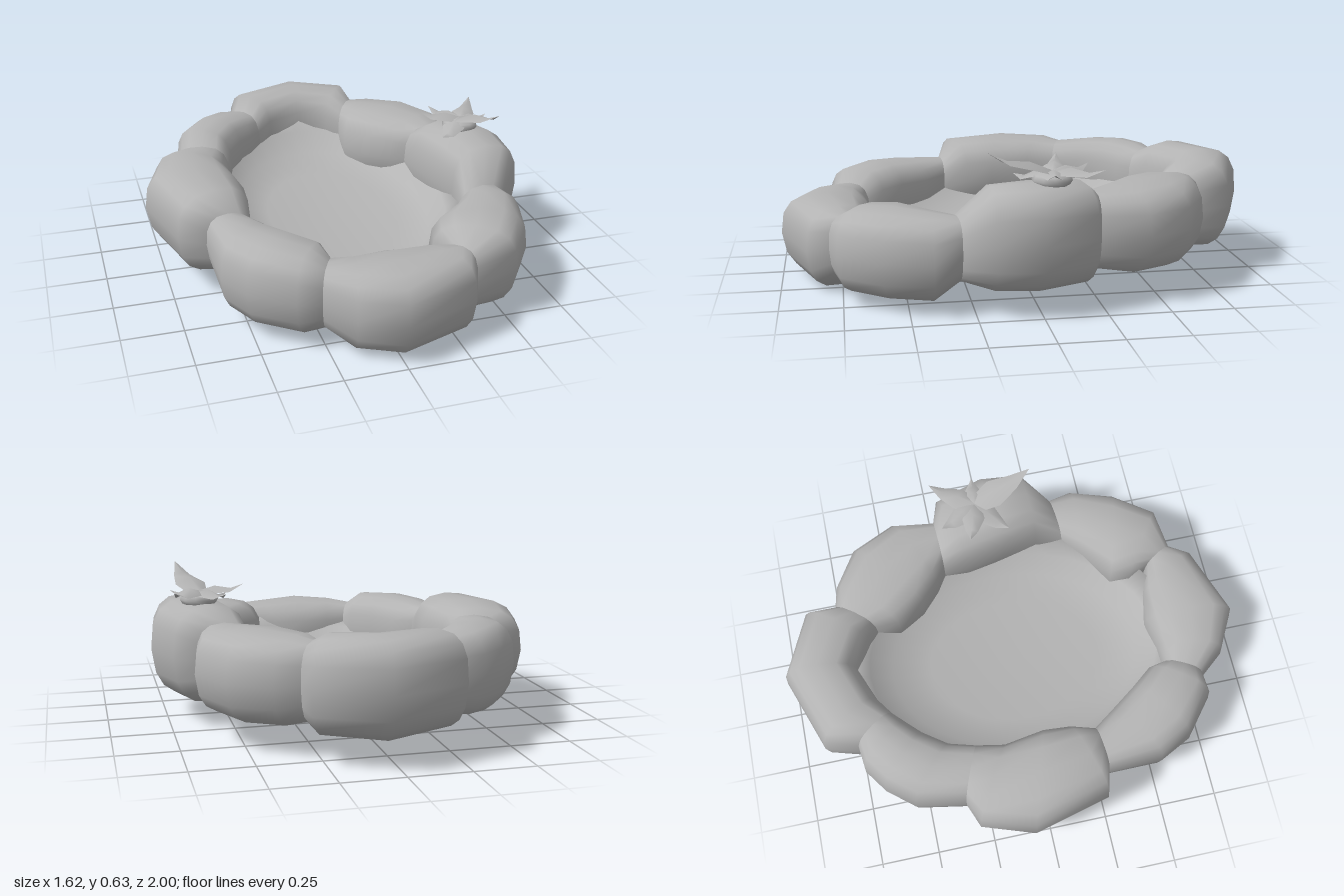
import * as THREE from 'three';
import { mergeVertices } from 'three/addons/utils/BufferGeometryUtils.js';

const stone = new THREE.MeshStandardMaterial({ color: 0xb4b4b4, side: THREE.DoubleSide });

// Rim lobes, clockwise from the back: bottom, top, then four outer and four inner
// plan points (x, z); the first point of each lobe lies in the crease before it
const lobes = [
  { name: 'backLobe', low: 0.10, high: 0.49,
    outer: [[-0.31, -0.74], [-0.27, -0.88], [0.05, -0.995], [0.32, -0.87]],
    inner: [[-0.19, -0.57], [-0.12, -0.62], [0.03, -0.68], [0.15, -0.61]] },
  { name: 'backLeftLobe', low: 0.10, high: 0.46,
    outer: [[0.33, -0.74], [0.43, -0.72], [0.59, -0.62], [0.68, -0.43]],
    inner: [[0.20, -0.57], [0.20, -0.47], [0.27, -0.35], [0.36, -0.27]] },
  { name: 'leftLobe', low: 0.09, high: 0.505,
    outer: [[0.65, -0.24], [0.74, -0.21], [0.81, 0.00], [0.79, 0.18]],
    inner: [[0.42, -0.23], [0.42, -0.12], [0.45, 0.05], [0.48, 0.20]] },
  { name: 'frontLeftLobe', low: 0.035, high: 0.39,
    outer: [[0.68, 0.30], [0.71, 0.41], [0.65, 0.60], [0.53, 0.77]],
    inner: [[0.47, 0.32], [0.39, 0.40], [0.26, 0.50], [0.24, 0.58]] },
  { name: 'frontLobe', low: 0.00, high: 0.35,
    outer: [[0.35, 0.80], [0.31, 0.89], [0.00, 1.00], [-0.17, 0.91]],
    inner: [[0.27, 0.66], [0.15, 0.62], [0.03, 0.60], [-0.10, 0.62]] },
  { name: 'frontRightLobe', low: 0.035, high: 0.39,
    outer: [[-0.27, 0.79], [-0.37, 0.79], [-0.53, 0.66], [-0.60, 0.52]],
    inner: [[-0.18, 0.62], [-0.20, 0.55], [-0.27, 0.46], [-0.35, 0.35]] },
  { name: 'rightLobe', low: 0.09, high: 0.455,
    outer: [[-0.61, 0.28], [-0.72, 0.25], [-0.805, -0.08], [-0.73, -0.30]],
    inner: [[-0.42, 0.26], [-0.40, 0.15], [-0.39, 0.04], [-0.42, -0.13]] },
  { name: 'backRightLobe', low: 0.10, high: 0.46,
    outer: [[-0.63, -0.34], [-0.59, -0.55], [-0.50, -0.66], [-0.40, -0.73]],
    inner: [[-0.40, -0.25], [-0.37, -0.36], [-0.30, -0.46], [-0.24, -0.52]] },
];

// Rounded upright cross-section between an inner and an outer plan point
const SIDES = 16;
function section([ox, oz], [ix, iz], low, high) {
  const round = (v) => Math.sign(v) * Math.abs(v) ** 0.72;
  return Array.from({ length: SIDES }, (_, k) => {
    const a = (k / SIDES) * Math.PI * 2;
    const c = round(Math.cos(a)), s = round(Math.sin(a));
    const w = 0.5 + 0.5 * c * (s < 0 ? 1 + 0.08 * s : 1);
    return new THREE.Vector3(ix + (ox - ix) * w, (low + high) / 2 + s * (high - low) / 2, iz + (oz - iz) * w);
  });
}

// Loft one lobe from the crease before it to the crease after it
function lobeGeometry(i) {
  const lobe = lobes[i];
  const crease = (n) => {
    const next = lobes[n % 8], prev = lobes[(n + 7) % 8];
    return section(next.outer[0], next.inner[0],
      Math.max(next.low, prev.low) + 0.03, Math.min(next.high, prev.high) - 0.02);
  };
  const rings = [crease(i)];
  for (let k = 1; k < 4; k++) {
    const drop = k === 2 ? 0 : 0.008;
    rings.push(section(lobe.outer[k], lobe.inner[k], lobe.low + drop, lobe.high - drop));
  }
  rings.push(crease(i + 1));
  const index = [];
  for (let r = 0; r < rings.length - 1; r++) {
    for (let k = 0; k < SIDES; k++) {
      const a = r * SIDES + k, b = r * SIDES + (k + 1) % SIDES;
      index.push(a, b, a + SIDES, b, b + SIDES, a + SIDES);
    }
  }
  const geometry = new THREE.BufferGeometry().setFromPoints(rings.flat());
  geometry.setIndex(index);
  geometry.computeVertexNormals();
  return geometry;
}

// Shallow basin, lower at the front, its edge hidden inside the rim
function basinGeometry() {
  const profile = [[0, 0.125], [0.6, 0.125], [0.92, 0.15], [1, 0.23], [0.96, 0.33],
    [0.84, 0.27], [0.72, 0.2], [0.5, 0.17], [0, 0.165]];
  let basin = new THREE.LatheGeometry(profile.map(([r, y]) => new THREE.Vector2(r, y)), 32);
  basin.scale(0.56, 1, 0.76);
  const pos = basin.attributes.position;
  for (let i = 0; i < pos.count; i++) pos.setY(i, pos.getY(i) - 0.07 * pos.getZ(i));
  basin.deleteAttribute('uv');
  basin.deleteAttribute('normal');
  basin = mergeVertices(basin, 1e-4);
  basin.computeVertexNormals();
  return basin;
}

// Folded pointed leaf from the flower centre to its tip
function leafGeometry(centre, tip, width) {
  const dir = tip.clone().sub(centre);
  const side = new THREE.Vector3(-dir.z, 0, dir.x).normalize().multiplyScalar(width);
  const rows = [[0, 0.6, 0], [0.35, 1, 0.01], [0.7, 0.55, -0.01], [1, 0, 0]];
  const points = [], index = [];
  rows.forEach(([t, w, lift], r) => {
    for (const s of [-1, 0, 1]) {
      const pt = centre.clone().addScaledVector(dir, t).addScaledVector(side, s * w);
      pt.y += lift - Math.abs(s) * 0.025 * w;
      points.push(pt);
    }
    if (r === 0) return;
    for (let k = 0; k < 2; k++) {
      const n = r * 3 + k;
      index.push(n - 3, n - 2, n, n - 2, n + 1, n);
    }
  });
  const geometry = new THREE.BufferGeometry().setFromPoints(points);
  geometry.setIndex(index);
  geometry.computeVertexNormals();
  return geometry;
}

export function createModel() {
  const group = new THREE.Group();
  const add = (name, geometry) => {
    const mesh = new THREE.Mesh(geometry, stone);
    mesh.name = name;
    group.add(mesh);
    return mesh;
  };

  lobes.forEach((lobe, i) => add(lobe.name, lobeGeometry(i)));
  add('basin', basinGeometry());

  // Star of curled leaves around a flat bud on the left lobe
  const bud = add('bud', new THREE.SphereGeometry(0.08, 10, 6));
  bud.scale.y = 0.45;
  bud.position.set(0.61, 0.51, -0.05);
  const centre = new THREE.Vector3(0.61, 0.545, -0.05);
  const tips = [[0.43, 0.575, -0.10], [0.52, 0.55, -0.21], [0.73, 0.565, -0.23],
    [0.73, 0.55, -0.04], [0.68, 0.635, 0.21], [0.48, 0.51, 0.08]];
  tips.forEach((t, i) => {
    add('leaf' + (i + 1), leafGeometry(centre, new THREE.Vector3(...t), i === 4 ? 0.065 : 0.05));
  });

  return group;
}
